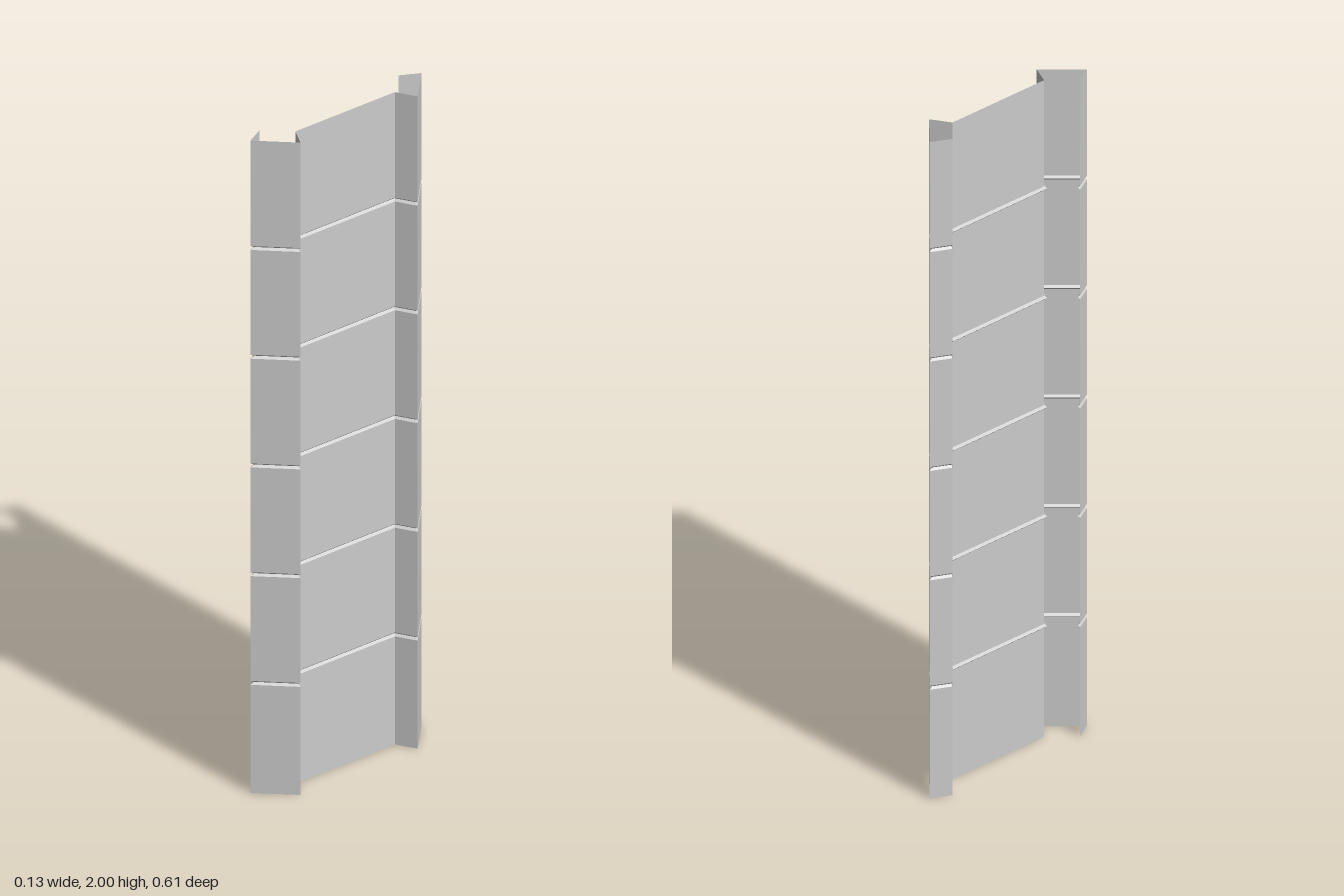
import * as THREE from 'three';

const HEIGHT = 2, PANELS = 6, DEPTH = 0.007;

// Half of the folded section (x, z), from the lip edge to the web; mirrored in z for the rest
const half = [[-0.064, -0.247], [-0.034, -0.304], [0.063, -0.208], [0.004, -0.177]];
const section = [...half, ...half.map(([x, z]) => [x, -z]).reverse()]
  .map(([x, z]) => new THREE.Vector2(x, z));
const names = ['rearLip', 'rearFlange', 'rearReturn', 'web', 'frontReturn', 'frontFlange', 'frontLip'];

// Inward normal of the fold between points i and i + 1
function inward(i) {
  const d = section[i + 1].clone().sub(section[i]).normalize();
  return new THREE.Vector2(-d.y, d.x);
}

// Section pushed inward with mitred corners, for the bottoms of the grooves
const inset = section.map((p, i) => {
  const a = inward(Math.max(i - 1, 0));
  const b = inward(Math.min(i, section.length - 2));
  const m = a.clone().add(b).normalize();
  return p.clone().addScaledVector(m, DEPTH / m.dot(a));
});

// Levels up the sheet: flat panels separated by shallow V grooves
const levels = [[0, section]];
for (let k = 1; k < PANELS; k++) {
  const y = (k * HEIGHT) / PANELS + 0.004;
  levels.push([y - 0.006, section], [y, inset], [y + 0.006, section]);
}
levels.push([HEIGHT, section]);

// One fold of the sheet, running the full height
function makeStrip(i) {
  const pos = [];
  for (let r = 0; r < levels.length - 1; r++) {
    const [y0, s0] = levels[r], [y1, s1] = levels[r + 1];
    const a = [s0[i].x, y0, s0[i].y], b = [s0[i + 1].x, y0, s0[i + 1].y];
    const c = [s1[i + 1].x, y1, s1[i + 1].y], d = [s1[i].x, y1, s1[i].y];
    pos.push(...a, ...d, ...c, ...a, ...c, ...b);
  }
  const geo = new THREE.BufferGeometry();
  geo.setAttribute('position', new THREE.Float32BufferAttribute(pos, 3));
  geo.computeVertexNormals();
  return geo;
}

export function createModel() {
  const model = new THREE.Group();
  model.name = 'foldedSheetPost';
  const material = new THREE.MeshStandardMaterial({
    color: 0xcccccc, flatShading: true, side: THREE.DoubleSide,
  });
  names.forEach((name, i) => {
    const mesh = new THREE.Mesh(makeStrip(i), material);
    mesh.name = name;
    model.add(mesh);
  });
  return model;
}
